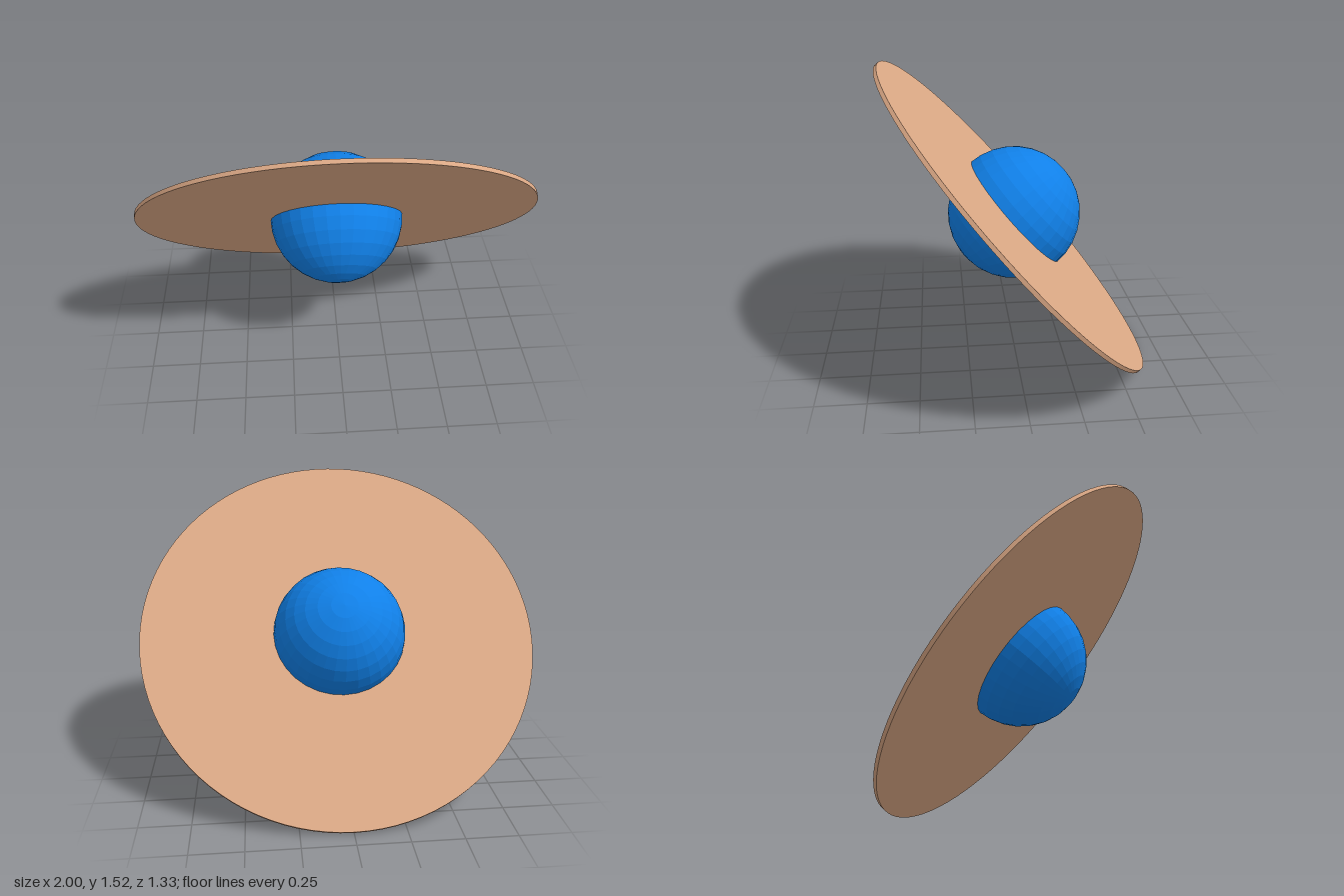
import * as THREE from 'three';

export function createModel() {
  const model = new THREE.Group();
  model.name = 'ringedPlanet';

  // Globe and ring share one tilted axis; the ring's front edge is raised
  const tilted = new THREE.Group();
  tilted.name = 'tiltedPlanet';
  tilted.position.y = 0.76;
  tilted.rotation.x = THREE.MathUtils.degToRad(-49);
  model.add(tilted);

  // Faceted globe
  const globe = new THREE.Mesh(
    new THREE.SphereGeometry(0.336, 32, 16),
    new THREE.MeshStandardMaterial({ color: 0x1080e8, flatShading: true })
  );
  globe.name = 'globe';

  // Thin flat disc through the equator
  const ring = new THREE.Mesh(
    new THREE.CylinderGeometry(1, 1, 0.02, 96),
    new THREE.MeshStandardMaterial({ color: 0xdca986 })
  );
  ring.name = 'ring';

  tilted.add(globe, ring);
  return model;
}
